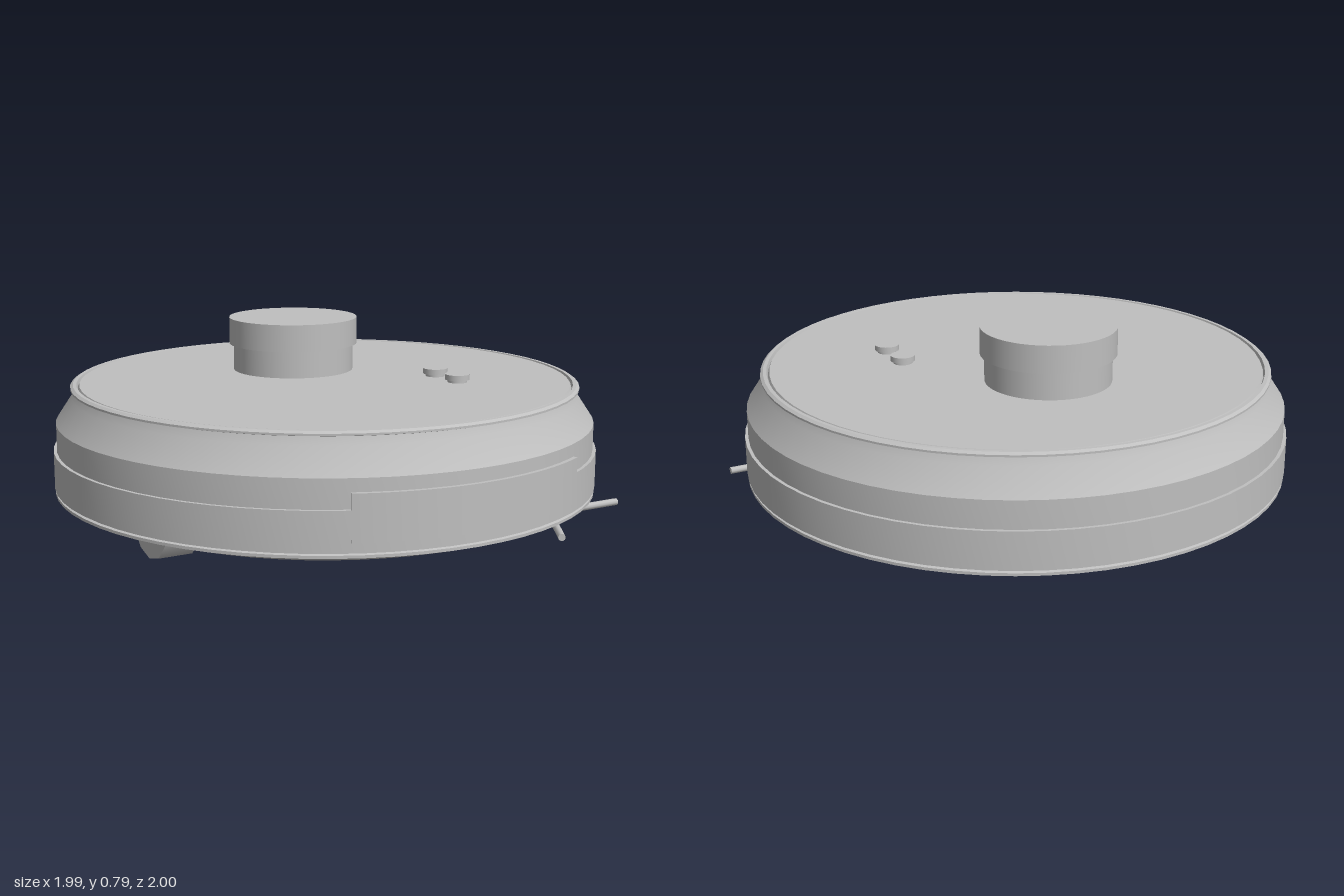
import * as THREE from 'three';
import { toCreasedNormals } from 'three/addons/utils/BufferGeometryUtils.js';

export function createModel() {
  const model = new THREE.Group();
  model.name = 'robotVacuum';
  const grey = new THREE.MeshStandardMaterial({ color: 0xbfbfbf });
  grey.name = 'plain grey';

  function add(name, geometry, x = 0, y = 0, z = 0, parent = model) {
    const mesh = new THREE.Mesh(geometry, grey);
    mesh.name = name;
    mesh.position.set(x, y, z);
    parent.add(mesh);
    return mesh;
  }

  const lathe = (points, segments) => toCreasedNormals(
    new THREE.LatheGeometry(points.map(([r, y]) => new THREE.Vector2(r, y)), segments), 0.3);

  // Round body: chamfered base, bumper wall, stepped shoulder and grooved top rim
  add('body', lathe([
    [0, 0.153], [0.86, 0.153], [0.995, 0.2], [0.995, 0.21], [0.985, 0.213], [0.985, 0.218],
    [0.997, 0.22], [0.997, 0.355], [0.985, 0.355], [0.985, 0.455], [0.925, 0.545],
    [0.915, 0.572], [0.93, 0.576], [0.93, 0.583], [0.92, 0.59], [0.907, 0.59],
    [0.902, 0.578], [0.897, 0.588], [0, 0.588],
  ], 64));

  // Curved panel set into the front of the bumper
  const from = -Math.PI / 2 - Math.asin(0.42);
  const to = -Math.PI / 2 + Math.asin(0.49);
  const arc = new THREE.Shape();
  arc.absarc(0, 0, 1, from, to, false);
  arc.absarc(0, 0, 0.965, to, from, true);
  const panel = new THREE.ExtrudeGeometry(arc, { depth: 0.16, bevelEnabled: false, curveSegments: 24 });
  panel.rotateX(-Math.PI / 2);
  add('frontPanel', toCreasedNormals(panel, 0.3), 0, 0.25, 0);

  // Sensor turret
  add('turretBase', new THREE.CylinderGeometry(0.227, 0.227, 0.11, 48), 0, 0.64, -0.245);
  add('turretCap', new THREE.CylinderGeometry(0.243, 0.243, 0.1, 48), 0, 0.738, -0.245);

  // Two buttons on the lid
  for (const z of [0.165, 0.31]) {
    add('button', new THREE.CylinderGeometry(0.045, 0.045, 0.02, 24), 0.38, 0.608, z);
    add('buttonStem', new THREE.CylinderGeometry(0.035, 0.035, 0.02, 24), 0.38, 0.592, z);
  }

  // Drive wheels, half sunk into the base
  for (const side of [-1, 1]) {
    const wheel = new THREE.CylinderGeometry(0.16, 0.16, 0.13, 12);
    wheel.rotateZ(Math.PI / 2);
    add(side > 0 ? 'leftWheel' : 'rightWheel', wheel, side * 0.65, 0.16, 0);
  }

  // Three-armed side brush
  const brush = new THREE.Group();
  brush.name = 'sideBrush';
  brush.position.set(0.62, 0.122, 0.565);
  model.add(brush);
  for (let i = 0; i < 3; i++) {
    const arm = new THREE.CylinderGeometry(0.013, 0.013, 0.315, 10);
    arm.rotateZ(-Math.PI / 2).translate(0.1575, 0, 0);
    add('brushArm', arm, 0, 0, 0, brush).rotation.y = i * Math.PI * 2 / 3;
  }

  return model;
}
